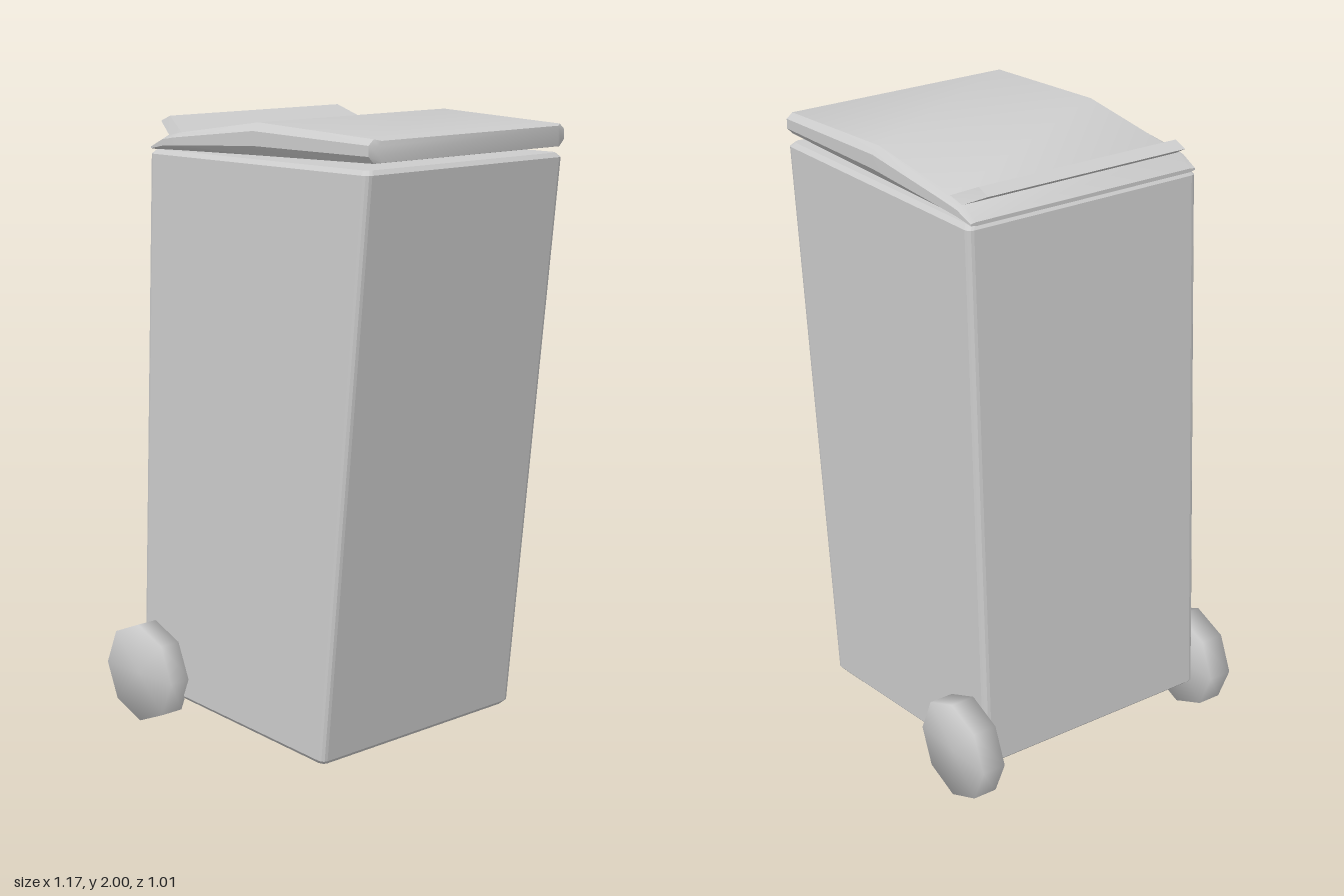
import * as THREE from 'three';
import { mergeVertices, toCreasedNormals } from 'three/addons/utils/BufferGeometryUtils.js';

const grey = () => new THREE.MeshStandardMaterial({ color: 0xcccccc });

// Skin a list of equal-length rings and close both ends.
function loft(rings, crease) {
  const n = rings[0].length;
  const index = [];
  for (let k = 0; k < rings.length - 1; k++) {
    for (let i = 0; i < n; i++) {
      const a = k * n + i, b = k * n + (i + 1) % n;
      index.push(a, b, b + n, a, b + n, a + n);
    }
  }
  const last = (rings.length - 1) * n;
  for (let i = 1; i < n - 1; i++) {
    index.push(0, i + 1, i, last, last + i, last + i + 1);
  }
  const geo = new THREE.BufferGeometry();
  geo.setAttribute('position', new THREE.Float32BufferAttribute(rings.flat(2), 3));
  geo.setIndex(index);
  return toCreasedNormals(geo, crease);
}

// Tilted rounded rectangle from the left edge (xl, yl) to the right edge (xr, yr).
function bodyRing([xl, yl, xr, yr, hz]) {
  const r = 0.02, steps = 3, ring = [];
  const corners = [[xr - r, -hz + r], [xl + r, -hz + r], [xl + r, hz - r], [xr - r, hz - r]];
  corners.forEach(([cx, cz], c) => {
    for (let s = 0; s <= steps; s++) {
      const a = (c + s / steps) * Math.PI / 2;
      const x = cx + r * Math.cos(a);
      const y = yl + (yr - yl) * (x - xl) / (xr - xl);
      ring.push([x, y, cz - r * Math.sin(a) + 0.005]);
    }
  });
  return ring;
}

// Lid section at x: bevelled along both sides.
function lidRing([x, bottom, top, zi, zo]) {
  const lo = bottom + (top - bottom) * 0.3, hi = bottom + (top - bottom) * 0.75;
  return [[top, -zi], [top, zi], [hi, zo], [lo, zo], [bottom, zi], [bottom, -zi], [lo, -zo], [hi, -zo]]
    .map(([y, z]) => [x, y, z + 0.005]);
}

export function createModel() {
  const group = new THREE.Group();
  const add = (name, geo) => {
    const mesh = new THREE.Mesh(geo, grey());
    mesh.name = name;
    group.add(mesh);
    return mesh;
  };

  // Tapered body with a recessed underside
  add('body', loft([
    [-0.37, 0.2, 0.27, 0.15, 0.31],
    [-0.46, 0.105, 0.35, 0.048, 0.4],
    [-0.478, 0.105, 0.368, 0.042, 0.415],
    [-0.494, 0.12, 0.382, 0.056, 0.428],
    [-0.412, 1.876, 0.57, 1.876, 0.428],
    [-0.4, 1.89, 0.558, 1.89, 0.415],
  ].map(bodyRing), 0.2));

  // Arched lid, thickest in the middle
  add('lid', loft([
    [-0.412, 1.888, 1.9, 0.4, 0.42],
    [-0.35, 1.89, 1.935, 0.4, 0.425],
    [-0.29, 1.892, 1.947, 0.4, 0.427],
    [0.08, 1.901, 2.0, 0.405, 0.428],
    [0.572, 1.91, 1.98, 0.405, 0.426],
    [0.584, 1.912, 1.975, 0.385, 0.395],
  ].map(lidRing), 0.6));

  // Thin upturned grip on the hinge side of the lid
  const gripRing = (xt, yt, xb, yb, z) => [[xt, yt, -z], [xt, yt, z], [xb, yb, z], [xb, yb, -z]];
  add('lidGrip', loft([
    gripRing(-0.385, 1.992, -0.43, 1.974, 0.367),
    gripRing(-0.29, 1.947, -0.35, 1.934, 0.4),
  ], 0.3));

  // Octagonal wheels with soft shading across the rim
  for (const side of [1, -1]) {
    let geo = new THREE.CylinderGeometry(0.166, 0.166, 0.082, 8);
    geo.deleteAttribute('normal');
    geo.deleteAttribute('uv');
    geo = mergeVertices(geo);
    geo.computeVertexNormals();
    geo.rotateX(Math.PI / 2);
    const wheel = add(side > 0 ? 'leftWheel' : 'rightWheel', geo);
    wheel.name = side > 0 ? 'frontWheel' : 'backWheel';
    wheel.position.set(-0.423, 0.168, side * 0.466);
  }

  return group;
}
